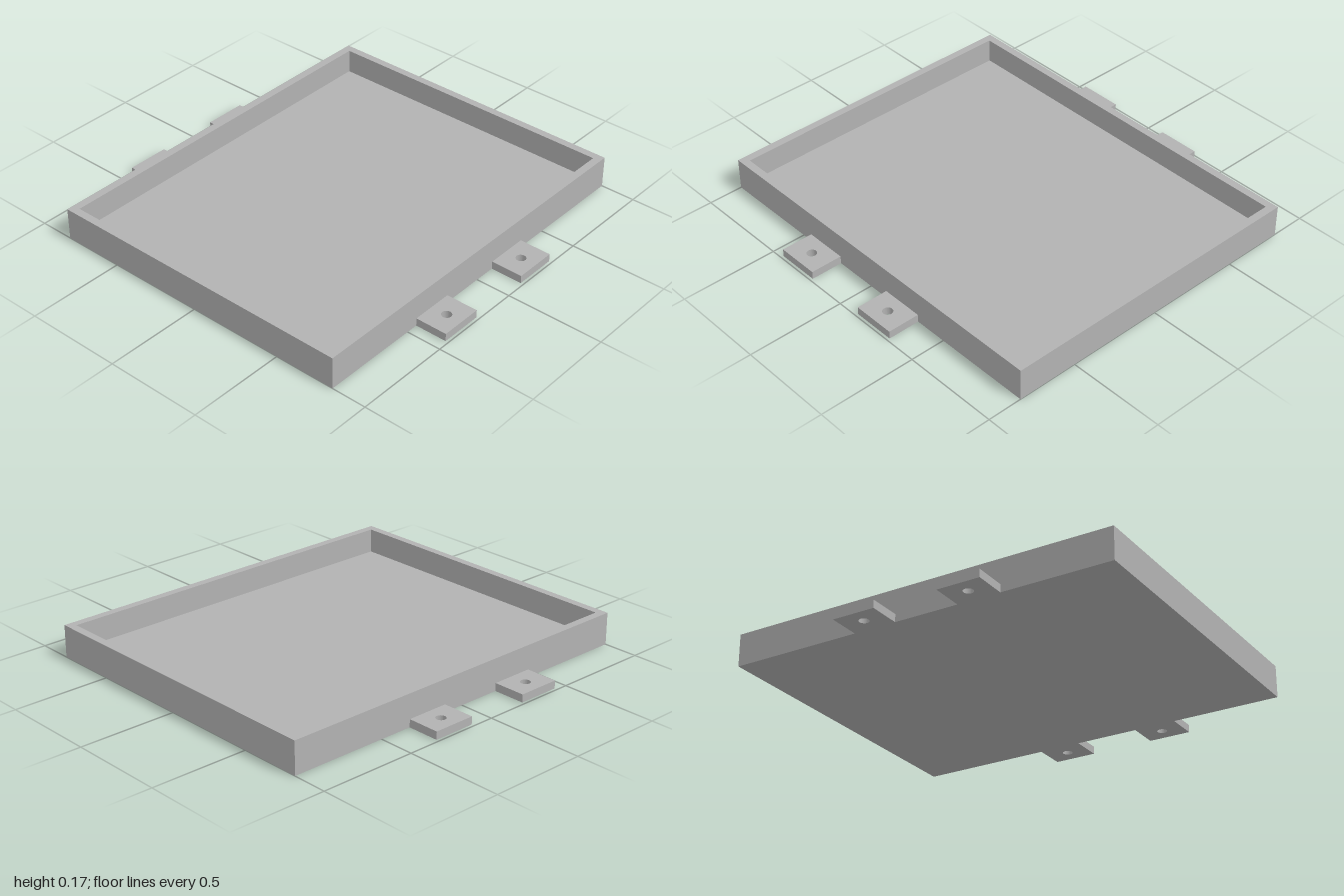
import * as THREE from 'three';

const WIDTH = 2, DEPTH = 1.64, HEIGHT = 0.165; // outer tray
const WALL = 0.04, FLOOR = 0.04;
const TAB = { width: 0.22, depth: 0.165, hole: 0.025 };

const rectangle = (Type, w, d) => new Type([
  new THREE.Vector2(-w / 2, -d / 2), new THREE.Vector2(w / 2, -d / 2),
  new THREE.Vector2(w / 2, d / 2), new THREE.Vector2(-w / 2, d / 2),
]);

// Extrudes a plan shape upwards from y = 0
function plate(shape, height) {
  return new THREE.ExtrudeGeometry(shape, { depth: height, bevelEnabled: false, curveSegments: 24 })
    .rotateX(-Math.PI / 2);
}

export function createModel() {
  const grey = new THREE.MeshStandardMaterial({ color: 0xb2b2b2 });
  grey.name = 'grey';
  const model = new THREE.Group();
  model.name = 'mountingTray';

  const add = (name, geometry, x, y, z) => {
    const mesh = new THREE.Mesh(geometry, grey);
    mesh.name = name;
    mesh.position.set(x, y, z);
    model.add(mesh);
  };

  // Flat floor
  add('floor', new THREE.BoxGeometry(WIDTH, FLOOR, DEPTH), 0, FLOOR / 2, 0);

  // Upright rim standing on the floor edge
  const rim = rectangle(THREE.Shape, WIDTH, DEPTH);
  rim.holes.push(rectangle(THREE.Path, WIDTH - 2 * WALL, DEPTH - 2 * WALL));
  add('rim', plate(rim, HEIGHT - FLOOR), 0, FLOOR, 0);

  // Mounting tabs with screw holes, two at the front and two at the back
  const tab = rectangle(THREE.Shape, TAB.width, TAB.depth);
  tab.holes.push(new THREE.Path().absarc(0, 0, TAB.hole, 0, Math.PI * 2, true));
  const tabGeometry = plate(tab, FLOOR);
  for (const [end, side] of [['front', 1], ['back', -1]]) {
    for (const [hand, x] of [['Right', -0.33], ['Left', 0.22]]) {
      add(`${end}${hand}Tab`, tabGeometry, x, 0, side * (DEPTH + TAB.depth) / 2);
    }
  }
  return model;
}
